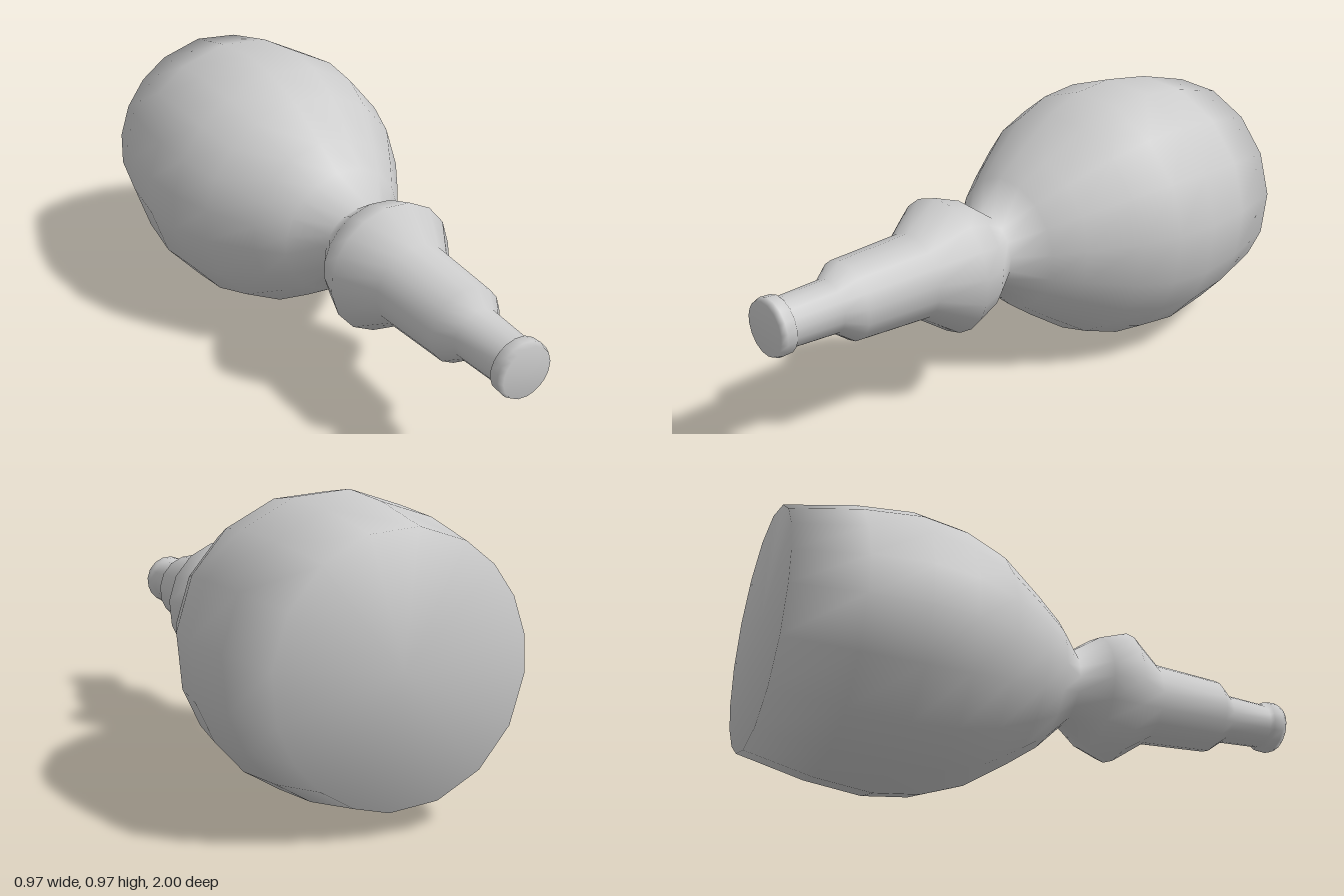
import * as THREE from 'three';

// Profile from the wide base to the mouth: [radius, position along the axis]
const PROFILE = [
  [0, -1], [0.41, -1], [0.463, -0.77], [0.486, -0.57], [0.468, -0.41], [0.415, -0.26],
  [0.31, -0.1], [0.238, 0], [0.136, 0.1], [0.206, 0.2], [0.24, 0.3], [0.15, 0.43],
  [0.136, 0.705], [0.091, 0.765], [0.083, 0.935], [0.096, 0.945], [0.098, 0.98],
  [0.09, 1], [0, 1],
];

// Uneven facets around the axis: [count, step in degrees]
const FACETS = [[4, 22.5], [4, 16.875], [6, 22.5], [4, 16.875]];
const START = -84.4;

export function createModel() {
  const group = new THREE.Group();
  group.name = 'bottle';

  const steps = FACETS.flatMap(([count, step]) => Array(count).fill(step));
  const angles = [START];
  for (const s of steps) angles.push(angles[angles.length - 1] + s);

  const points = PROFILE.map(([r, y]) => new THREE.Vector2(r, y));
  const geometry = new THREE.LatheGeometry(points, steps.length);

  // Turn each column of vertices, with its normals, to its own angle
  const axis = new THREE.Vector3(0, 1, 0);
  const v = new THREE.Vector3();
  for (const attribute of [geometry.attributes.position, geometry.attributes.normal]) {
    for (let i = 0; i < attribute.count; i++) {
      const column = Math.floor(i / points.length);
      const turn = THREE.MathUtils.degToRad(angles[column] - column * 360 / steps.length);
      v.fromBufferAttribute(attribute, i).applyAxisAngle(axis, turn);
      attribute.setXYZ(i, v.x, v.y, v.z);
    }
  }

  // Lay the bottle down with its mouth to the front
  geometry.rotateX(Math.PI / 2);
  geometry.translate(0, 0.486, 0);

  const body = new THREE.Mesh(geometry, new THREE.MeshStandardMaterial({ color: 0xcccccc }));
  body.name = 'bottleBody';
  group.add(body);
  return group;
}
